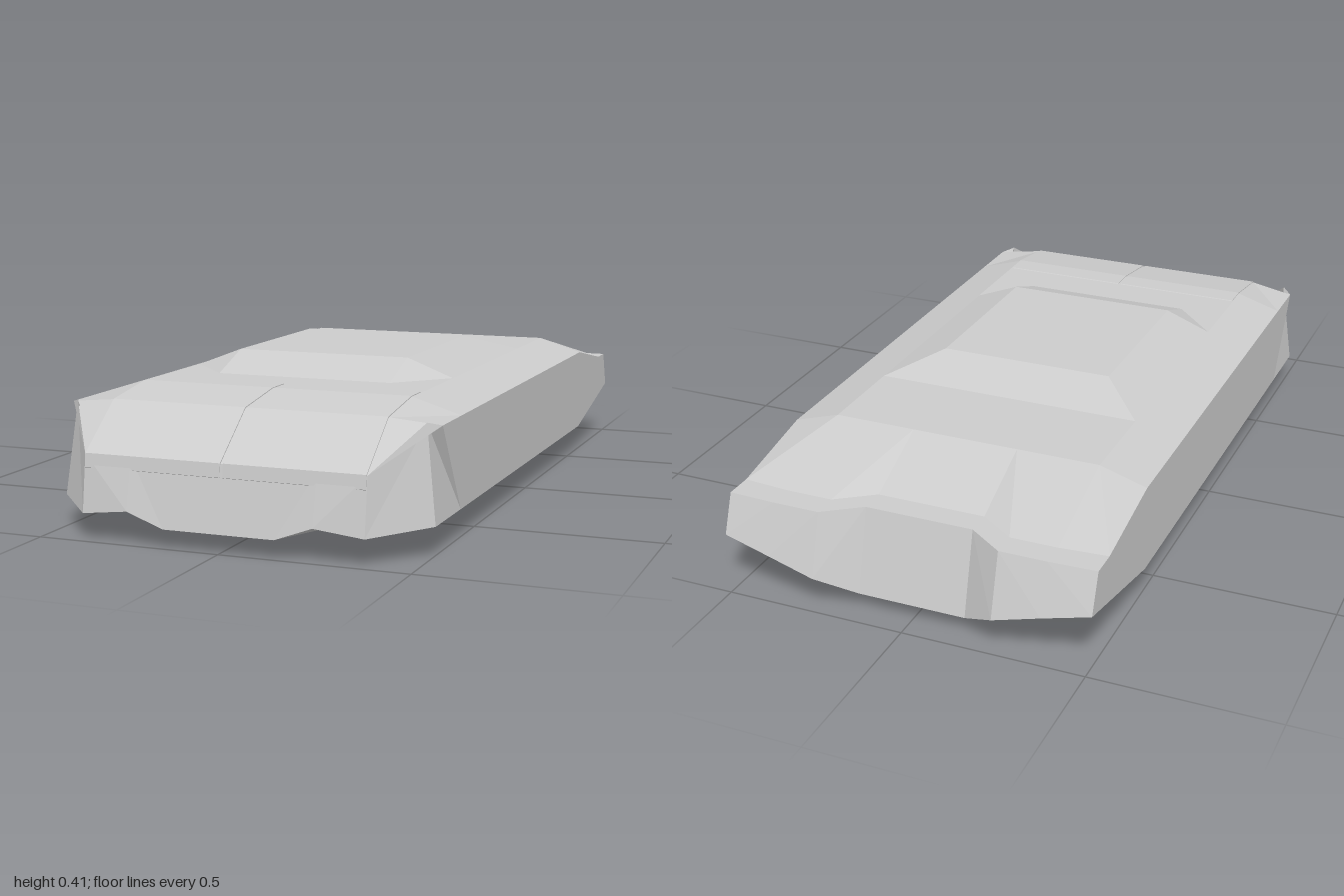
import * as THREE from 'three';

const material = new THREE.MeshStandardMaterial({ color: 0xcccccc, flatShading: true, side: THREE.DoubleSide });

// Lengthwise outline [y, z] at one distance x from the centre line:
// nose, over the roof, tail, then back along the underside
function outline(x, nose, roofY, bumpY, tail, floorY) {
  return [
    nose, [0.22, 0.97], [0.335, 0.82],
    [roofY, 0.65], [roofY, 0.46], [bumpY, 0.32], [bumpY, -0.19], [roofY, -0.33], [roofY, -0.6],
    ...tail, [floorY, -0.6], [floorY, 0.65],
  ].map(([y, z]) => new THREE.Vector3(x, y, z));
}

function bodyGeometry() {
  const half = [
    outline(0.15, [0.05, 1], 0.36, 0.41, [[0.27, -0.81], [0.27, -0.88], [0.045, -0.94]], 0),
    outline(0.25, [0.087, 1], 0.36, 0.41, [[0.27, -0.88], [0.27, -0.95], [0.1, -1]], 0.015),
    outline(0.38, [0.07, 0.99], 0.36, 0.36, [[0.27, -0.88], [0.27, -0.95], [0.135, -0.995]], 0.043),
    outline(0.51, [0.08, 0.85], 0.32, 0.32, [[0.27, -0.87], [0.27, -0.945], [0.165, -0.985]], 0.08),
  ];
  // Bevelled front corner
  half[3][1].set(0.48, 0.33, 0.83);
  half[3][2].set(0.51, 0.32, 0.8);

  const mirror = (p) => new THREE.Vector3(-p.x, p.y, p.z);
  const columns = [...half.map((c) => c.map(mirror)).reverse(), ...half];
  const points = [];

  // Skin between neighbouring outlines, with mirrored diagonals
  for (let c = 0; c < columns.length - 1; c++) {
    const n = columns[c].length;
    for (let i = 0; i < n; i++) {
      const j = (i + 1) % n;
      const a = columns[c][i], b = columns[c + 1][i];
      const d = columns[c][j], e = columns[c + 1][j];
      if (c < 4) points.push(a, b, d, b, e, d);
      else points.push(a, b, e, a, e, d);
    }
  }

  // Side walls
  const edge = half[3];
  const contour = edge.map((p) => new THREE.Vector2(p.z, p.y));
  for (const face of THREE.ShapeUtils.triangulateShape(contour, [])) {
    let [a, b, c] = face.map((k) => edge[k]);
    const normal = b.clone().sub(a).cross(c.clone().sub(a));
    if (normal.x < 0) [b, c] = [c, b];
    points.push(a, b, c, mirror(a), mirror(c), mirror(b));
  }
  return new THREE.BufferGeometry().setFromPoints(points);
}

// Thin bent panel over the nose and brow
function panelGeometry(width) {
  const line = [[0.975, 0.185], [0.97, 0.22], [0.82, 0.335], [0.65, 0.36], [0.58, 0.36]];
  const shape = new THREE.Shape([
    ...line.map(([z, y]) => new THREE.Vector2(z + 0.002, y + 0.002)),
    ...line.map(([z, y]) => new THREE.Vector2(z - 0.003, y - 0.003)).reverse(),
  ]);
  const geometry = new THREE.ExtrudeGeometry(shape, { depth: width, bevelEnabled: false });
  return geometry.rotateY(-Math.PI / 2).translate(width / 2, 0, 0);
}

export function createModel() {
  const model = new THREE.Group();
  model.name = 'vehicleHull';

  const body = new THREE.Mesh(bodyGeometry(), material);
  body.name = 'body';
  model.add(body);

  // Pair of front panels with a narrow centre gap
  const panel = panelGeometry(0.374);
  for (const side of [1, -1]) {
    const mesh = new THREE.Mesh(panel, material);
    mesh.name = side > 0 ? 'frontPanelLeft' : 'frontPanelRight';
    mesh.position.x = side * 0.191;
    model.add(mesh);
  }
  return model;
}
